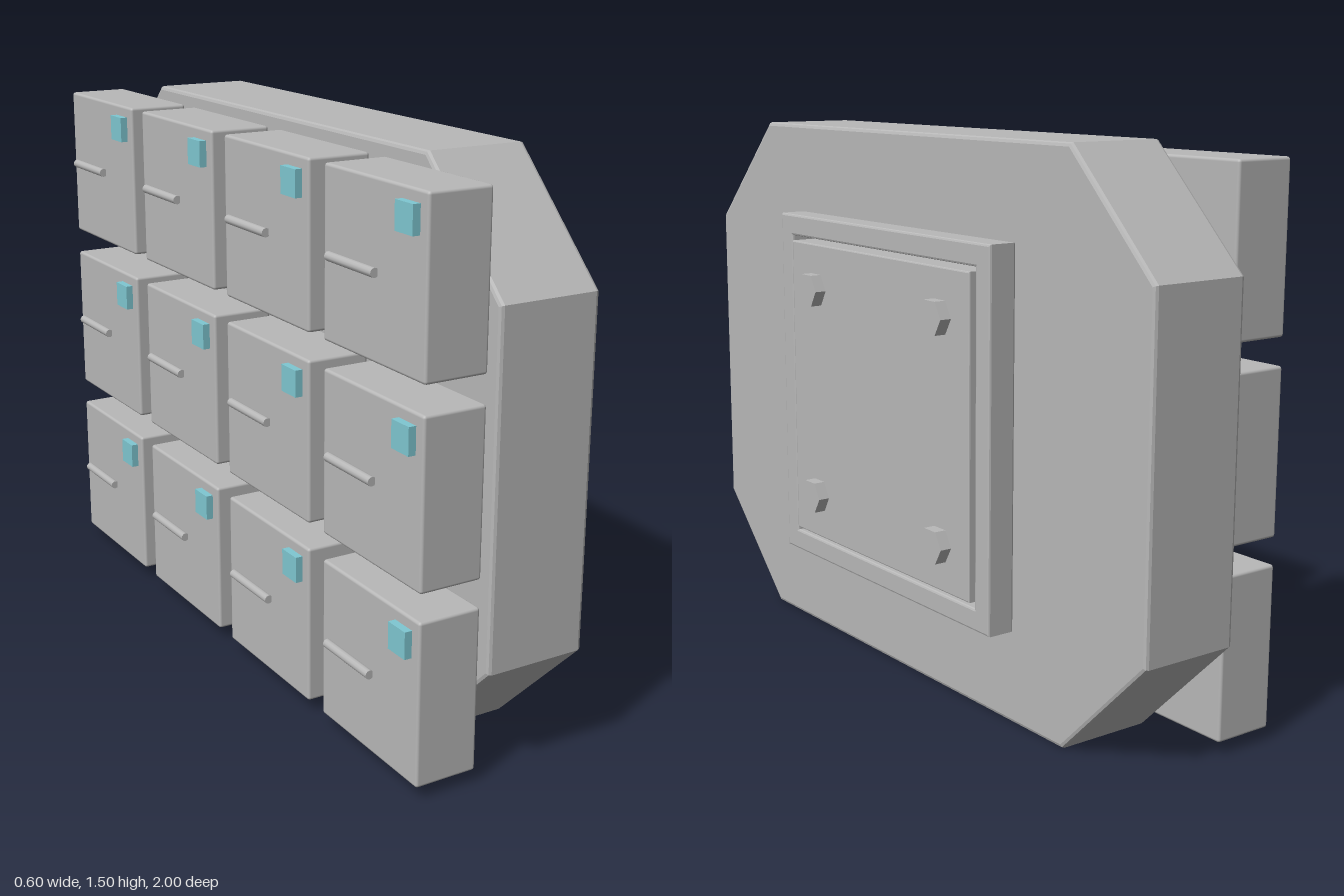
import * as THREE from 'three';
import { RoundedBoxGeometry } from 'three/addons/geometries/RoundedBoxGeometry.js';

const grey = new THREE.MeshStandardMaterial({ color: 0xb8b8b8 });
grey.name = 'grey metal';
const teal = new THREE.MeshStandardMaterial({ color: 0x7fc8d2 });
teal.name = 'teal indicator';

const MID_Y = 0.75;

// Extrude an outline (drawn in z, y) along x from x0 to x1 with softened edges
function slab(shape, x0, x1, bevel) {
  const g = new THREE.ExtrudeGeometry(shape, {
    depth: x1 - x0 - 2 * bevel, bevelEnabled: true, bevelThickness: bevel,
    bevelSize: bevel, bevelOffset: -bevel, bevelSegments: 2, curveSegments: 3,
  });
  g.translate(0, 0, x0 + bevel);
  g.rotateY(Math.PI / 2);
  return g;
}

function outline(points) {
  return new THREE.Shape(points.map(([a, b]) => new THREE.Vector2(a, b)));
}

const square = (h) => outline([[-h, -h], [h, -h], [h, h], [-h, h]]);

export function createModel() {
  const root = new THREE.Group();
  root.name = 'wallUnit';

  const add = (parent, name, geometry, material, x, y, z) => {
    const mesh = new THREE.Mesh(geometry, material);
    mesh.name = name;
    mesh.position.set(x, y, z);
    parent.add(mesh);
    return mesh;
  };

  // Main plate with cut corners
  const octagon = outline([
    [-0.7, -0.75], [0.7, -0.75], [1, -0.45], [1, 0.45],
    [0.7, 0.75], [-0.7, 0.75], [-1, 0.45], [-1, -0.45],
  ]);
  add(root, 'mainPlate', slab(octagon, -0.105, 0.175, 0.01), grey, 0, MID_Y, 0);

  // Raised square frame and the cover inside it
  const frame = square(0.5);
  frame.holes.push(square(0.44));
  add(root, 'mountFrame', slab(frame, 0.174, 0.254, 0.006), grey, 0, MID_Y, 0);
  add(root, 'coverPanel', slab(square(0.427), 0.17, 0.262, 0.004), grey, 0, MID_Y, 0);

  // Hexagonal bolts, corners pointing along z
  const boltGeo = new THREE.CylinderGeometry(0.05, 0.05, 0.037, 6).toNonIndexed();
  boltGeo.rotateZ(-Math.PI / 2);
  boltGeo.computeVertexNormals();
  for (const y of [-0.3, 0.3]) {
    for (const z of [-0.3, 0.3]) add(root, 'bolt', boltGeo, grey, 0.2765, MID_Y + y, z);
  }

  // Grid of drawers, each with a bar handle and a square indicator
  const drawerGeo = new RoundedBoxGeometry(0.172, 0.43, 0.43, 2, 0.008);
  const handleGeo = new THREE.CylinderGeometry(0.012, 0.012, 0.2, 12);
  handleGeo.rotateX(Math.PI / 2);
  const lightGeo = new THREE.BoxGeometry(0.025, 0.07, 0.07);
  for (let row = 0; row < 3; row++) {
    for (let col = 0; col < 4; col++) {
      const drawer = new THREE.Group();
      drawer.name = `drawer${row + 1}_${col + 1}`;
      drawer.position.set(0, 0.25 + row * 0.5, -0.75 + col * 0.5);
      add(drawer, 'drawerBox', drawerGeo, grey, -0.194, 0, 0);
      add(drawer, 'handle', handleGeo, grey, -0.288, 0, -0.08);
      add(drawer, 'indicator', lightGeo, teal, -0.2875, 0.15, 0.15);
      root.add(drawer);
    }
  }
  return root;
}
